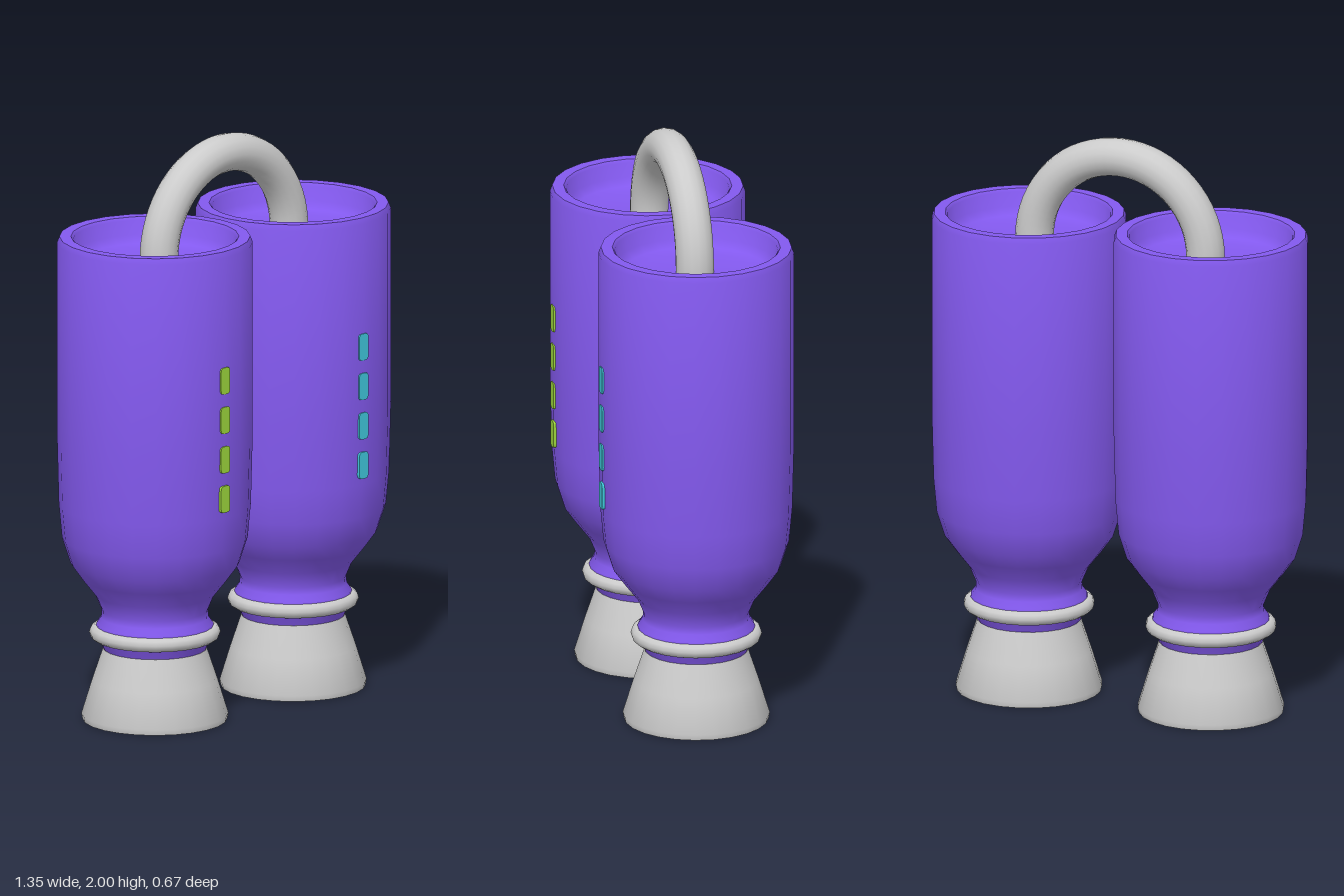
import * as THREE from 'three';
import { toCreasedNormals } from 'three/addons/utils/BufferGeometryUtils.js';

const SEGMENTS = 24;
const grey = new THREE.MeshStandardMaterial({ color: 0xcccccc });
const purple = new THREE.MeshStandardMaterial({ color: 0x8359ee });
const green = new THREE.MeshStandardMaterial({ color: 0x9cd63c });
const cyan = new THREE.MeshStandardMaterial({ color: 0x40c8dc });

function mesh(name, geometry, material) {
  const m = new THREE.Mesh(geometry, material);
  m.name = name;
  return m;
}

// Turned solid from [radius, height] pairs, keeping hard edges sharp
function turned(profile) {
  const points = profile.map(([r, y]) => new THREE.Vector2(r, y));
  return toCreasedNormals(new THREE.LatheGeometry(points, SEGMENTS), 0.75);
}

// Thin rounded plate for one indicator light
function lightGeometry(w, h, r, depth) {
  const x = w / 2, y = h / 2;
  const s = new THREE.Shape();
  s.moveTo(-x + r, -y);
  s.lineTo(x - r, -y);
  s.quadraticCurveTo(x, -y, x, -y + r);
  s.lineTo(x, y - r);
  s.quadraticCurveTo(x, y, x - r, y);
  s.lineTo(-x + r, y);
  s.quadraticCurveTo(-x, y, -x, y - r);
  s.lineTo(-x, -y + r);
  s.quadraticCurveTo(-x, -y, -x + r, -y);
  return new THREE.ExtrudeGeometry(s, { depth, bevelEnabled: false, curveSegments: 3 });
}

function createTank(name, lightMaterial) {
  const tank = new THREE.Group();
  tank.name = name;

  // Bottle body: neck, shoulder, wall, rim and recessed top
  tank.add(mesh('tankBody', turned([
    [0, 0.245], [0.175, 0.245], [0.19, 0.28], [0.205, 0.31], [0.2, 0.338],
    [0.184, 0.36], [0.182, 0.385], [0.205, 0.44], [0.25, 0.497], [0.29, 0.552],
    [0.318, 0.64], [0.329, 0.76], [0.335, 1.0], [0.335, 1.68], [0.327, 1.7],
    [0.288, 1.7], [0.28, 1.69], [0.275, 1.64], [0.25, 1.615], [0.21, 1.605], [0, 1.605],
  ]), purple));

  // Flared exhaust nozzle with a conical hollow
  tank.add(mesh('nozzle', turned([
    [0, 0.11], [0.125, 0.11], [0.24, 0], [0.248, 0], [0.252, 0.02],
    [0.215, 0.14], [0.178, 0.25], [0, 0.25],
  ]), grey));

  // Collar around the neck
  const collar = mesh('neckRing', new THREE.TorusGeometry(0.2, 0.025, 10, SEGMENTS), grey);
  collar.rotation.x = Math.PI / 2;
  collar.position.y = 0.307;
  tank.add(collar);

  // Column of indicator lights on the front
  const plate = lightGeometry(0.044, 0.094, 0.014, 0.03);
  for (let i = 0; i < 4; i++) {
    const light = mesh('indicatorLight', plate, lightMaterial);
    light.position.set(0, 0.83 + i * 0.139, 0.308);
    tank.add(light);
  }
  return tank;
}

export function createModel() {
  const model = new THREE.Group();
  model.name = 'twinTankPack';

  const left = createTank('leftTank', cyan);
  left.position.x = 0.34;
  const right = createTank('rightTank', green);
  right.position.x = -0.34;
  model.add(left, right);

  // Arched pipe joining the two recessed tops
  const pipe = mesh('connectingPipe', new THREE.TorusGeometry(0.32, 0.066, 16, 32, Math.PI), grey);
  pipe.position.y = 1.614;
  model.add(pipe);
  // Short ends carry the pipe into the tank floors
  for (const side of [-1, 1]) {
    const end = mesh('pipeEnd', new THREE.CylinderGeometry(0.066, 0.066, 0.03, 16), grey);
    end.position.set(side * 0.32, 1.6, 0);
    model.add(end);
  }
  return model;
}
